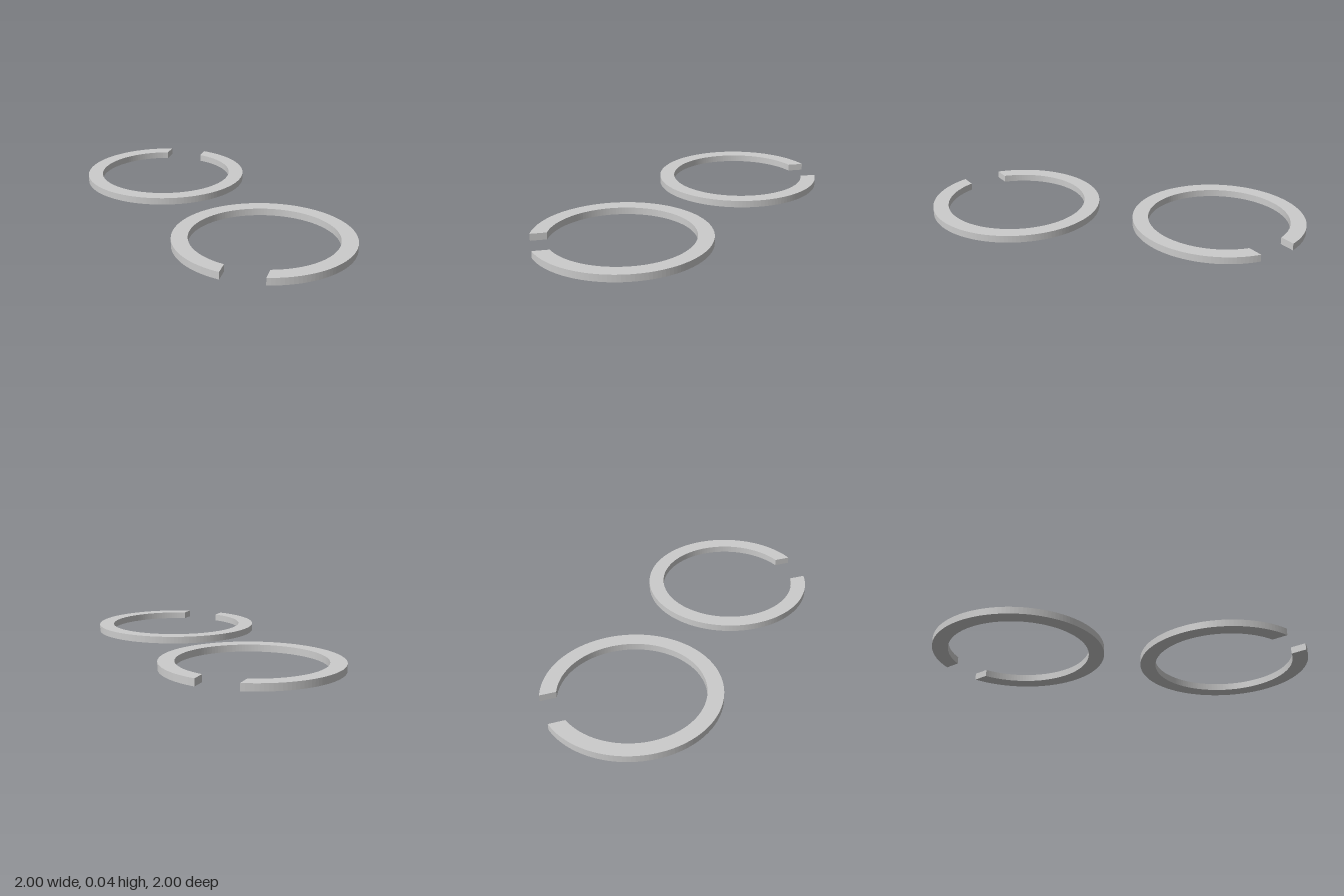
import * as THREE from 'three';

const OUTER = 0.54, INNER = 0.4425, HALF_GAP = 0.127, HEIGHT = 0.044;

// Flat split ring with a parallel-sided gap facing -z, standing on y = 0
function splitRingGeometry() {
  const outerGap = Math.asin(HALF_GAP / OUTER);
  const innerGap = Math.asin(HALF_GAP / INNER);
  const top = Math.PI / 2;
  const shape = new THREE.Shape();
  shape.absarc(0, 0, OUTER, top + outerGap, top - outerGap + 2 * Math.PI, false);
  shape.absarc(0, 0, INNER, top - innerGap + 2 * Math.PI, top + innerGap, true);
  shape.closePath();
  const geometry = new THREE.ExtrudeGeometry(shape, { depth: HEIGHT, bevelEnabled: false, curveSegments: 64 });
  return geometry.rotateX(-Math.PI / 2);
}

export function createModel() {
  const group = new THREE.Group();
  group.name = 'splitRings';
  const material = new THREE.MeshStandardMaterial({ color: 0xcccccc, flatShading: true });
  const geometry = splitRingGeometry();

  // Two identical rings, turned half a revolution from each other
  for (const [name, side] of [['backRing', -1], ['frontRing', 1]]) {
    const ring = new THREE.Mesh(geometry, material);
    ring.name = name;
    ring.position.set(side * 0.46, 0, side * 0.475);
    ring.rotation.y = side > 0 ? Math.PI : 0;
    group.add(ring);
  }
  return group;
}
